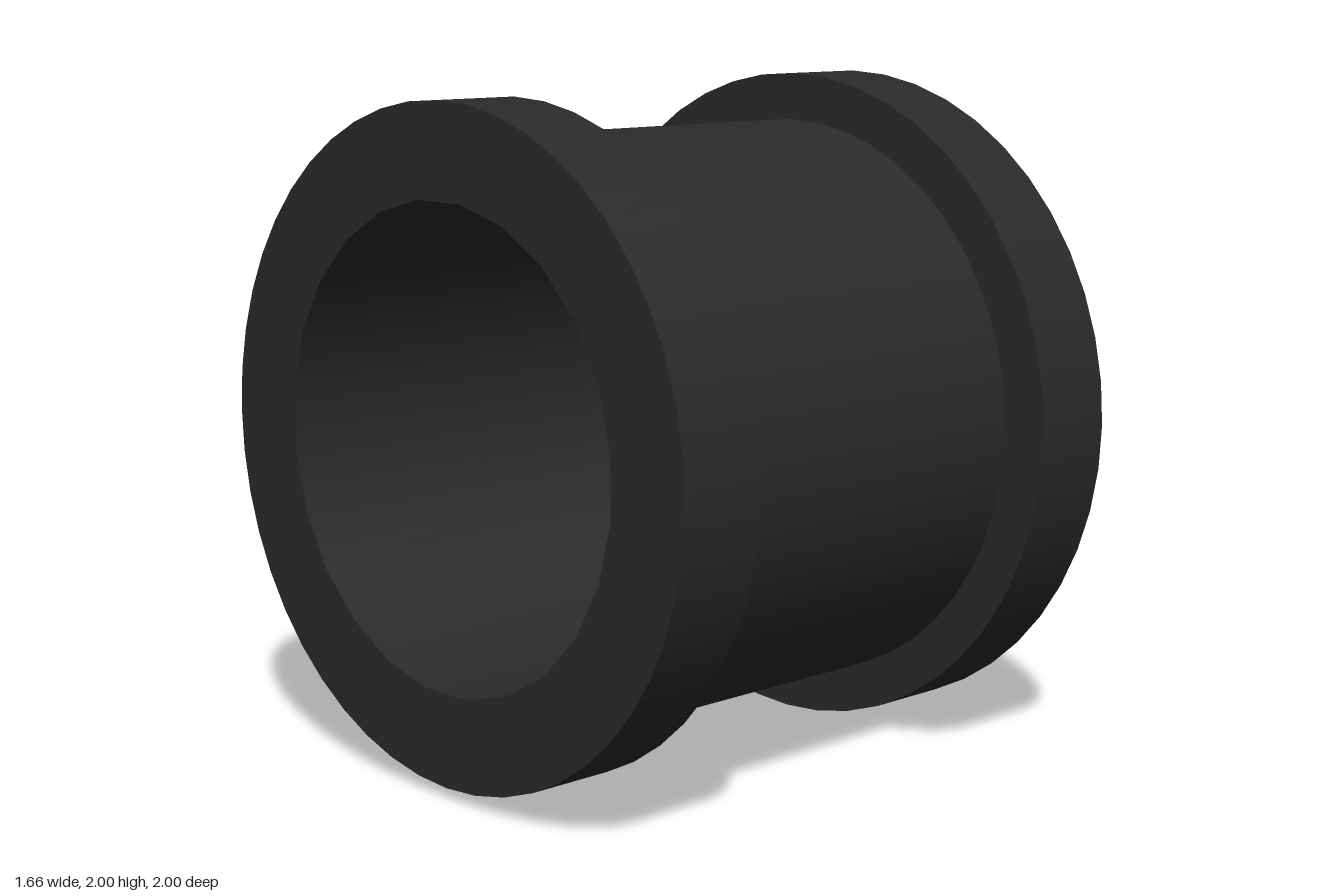
import * as THREE from 'three';
import { mergeGeometries } from 'three/addons/utils/BufferGeometryUtils.js';

const OUTER_SIDES = 48, BORE_SIDES = 24;
const BORE = 0.697, BODY = 0.86, END = 0.83, SHOULDER = 0.557;

// One surface of revolution per straight profile edge keeps the rims sharp.
// Points are [radius, position along the axis].
function turned(a, b, sides = OUTER_SIDES, start = 0) {
  return new THREE.LatheGeometry([new THREE.Vector2(...a), new THREE.Vector2(...b)], sides, start);
}

function polygon(radius, sides, start) {
  return Array.from({ length: sides }, (_, i) => {
    const t = start + (i / sides) * Math.PI * 2;
    return new THREE.Vector2(radius * Math.cos(t), radius * Math.sin(t));
  });
}

// Flat end ring: round outside, coarser polygon for the bore
function endFace(radius, side) {
  const shape = new THREE.Shape(polygon(radius, OUTER_SIDES, 0));
  shape.holes.push(new THREE.Path(polygon(BORE, BORE_SIDES, Math.PI / BORE_SIDES)));
  return new THREE.ShapeGeometry(shape).rotateX(-side * Math.PI / 2).translate(0, side * END, 0);
}

// Rim, shoulder and end face of a flange at one end
function flange(radius, side) {
  const inner = side * SHOULDER, outer = side * END;
  const rim = turned([radius, Math.min(inner, outer)], [radius, Math.max(inner, outer)]);
  const shoulder = side > 0
    ? turned([BODY, inner], [radius, inner])
    : turned([radius, inner], [BODY, inner]);
  return mergeGeometries([rim, shoulder, endFace(radius, side)]);
}

export function createModel() {
  const group = new THREE.Group();
  group.name = 'flangedBushing';
  const material = new THREE.MeshStandardMaterial({ color: 0x2a2a2a });

  const add = (name, geometry) => {
    // Lay the turning axis along x and rest the large flange on the ground
    geometry.rotateZ(-Math.PI / 2).translate(0, 1, 0);
    const mesh = new THREE.Mesh(geometry, material);
    mesh.name = name;
    group.add(mesh);
  };

  add('sleeve', turned([BODY, -SHOULDER], [BODY, SHOULDER]));
  add('bore', turned([BORE, END], [BORE, -END], BORE_SIDES, Math.PI / BORE_SIDES));
  add('largeFlange', flange(1, 1));
  add('smallFlange', flange(0.967, -1));
  return group;
}
